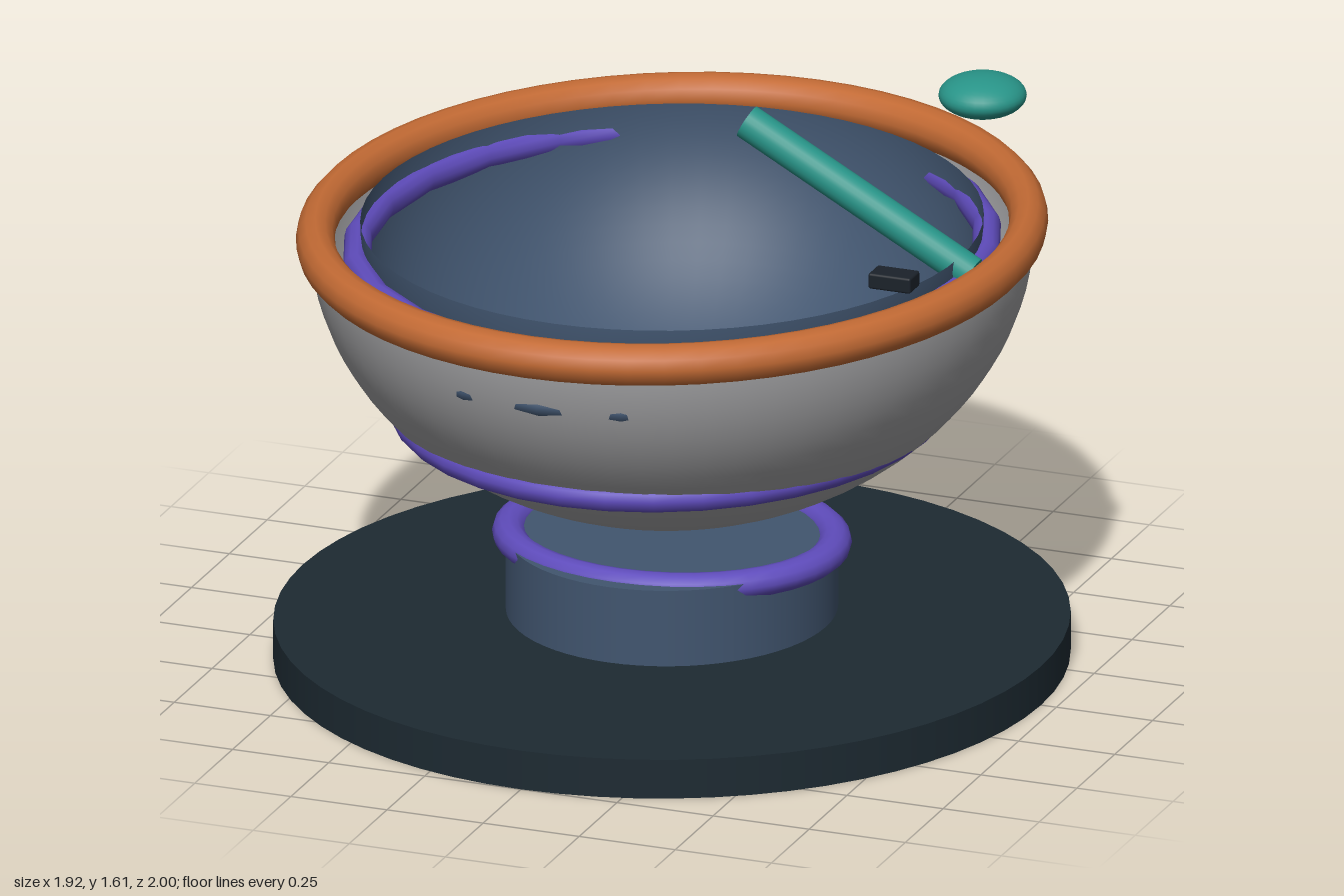
import * as THREE from 'three';
import { RoundedBoxGeometry } from 'three/addons/geometries/RoundedBoxGeometry.js';

const mat = (name, color, double = false) => {
  const m = new THREE.MeshStandardMaterial({ color });
  m.name = name;
  if (double) m.side = THREE.DoubleSide;
  return m;
};

export function createModel() {
  const group = new THREE.Group();
  const slate = mat('dark slate', 0x1d2a32);
  const black = mat('blue black', 0x1b222a);
  const blue = mat('slate blue', 0x41556f, true);
  const grey = mat('stone grey', 0xa2a2a4, true);
  const orange = mat('burnt orange', 0xc26a34);
  const purple = mat('violet', 0x5f4cbc);
  const teal = mat('teal', 0x289488);

  const add = (name, geometry, material, x = 0, y = 0, z = 0) => {
    const mesh = new THREE.Mesh(geometry, material);
    mesh.name = name;
    mesh.position.set(x, y, z);
    group.add(mesh);
    return mesh;
  };

  // Flat oval ring with half-widths rx and rz at the tube centre
  const ring = (name, rx, rz, tube, y, material, segments) => {
    const g = new THREE.TorusGeometry(rz, tube, 12, segments);
    g.rotateX(Math.PI / 2);
    g.scale(rx / rz, 1, 1);
    return add(name, g, material, 0, y, 0);
  };

  // Oval disc or drum standing on y0
  const drum = (name, rx, rz, y0, y1, material) => {
    const g = new THREE.CylinderGeometry(1, 1, y1 - y0, 64);
    g.scale(rx, 1, rz);
    return add(name, g, material, 0, (y0 + y1) / 2, 0);
  };

  // Open half ellipsoid, hollow side up
  const bowl = (name, rx, depth, rz, y, material) => {
    const g = new THREE.SphereGeometry(1, 64, 24, 0, Math.PI * 2, Math.PI / 2, Math.PI / 2);
    g.scale(rx, depth, rz);
    return add(name, g, material, 0, y, 0);
  };

  // Base and pedestal
  drum('base', 0.96, 1.0, 0, 0.1, slate);
  drum('pedestal', 0.4, 0.42, 0.125, 0.32, blue);
  ring('pedestalRing', 0.402, 0.35, 0.036, 0.307, purple, 40);

  // Bowl with its liner and rings
  bowl('bowl', 0.872, 0.703, 0.915, 1.1, grey);
  bowl('liner', 0.75, 0.64, 0.787, 1.13, blue);
  ring('rim', 0.85, 0.948, 0.052, 1.1, orange, 64);
  ring('innerRing', 0.757, 0.833, 0.037, 1.055, purple, 24);
  ring('hiddenBand', 0.775, 0.869, 0.03, 0.95, blue, 24);
  ring('lowerBand', 0.645, 0.721, 0.035, 0.67, purple, 36);

  // Slanted rod resting on the rim
  const a = new THREE.Vector3(0.195, 1.405, 0);
  const b = new THREE.Vector3(0.78, 1.09, 0);
  const rod = add('rod', new THREE.CylinderGeometry(0.043, 0.043, a.distanceTo(b), 24), teal);
  rod.position.copy(a).add(b).multiplyScalar(0.5);
  rod.quaternion.setFromUnitVectors(new THREE.Vector3(0, 1, 0), a.clone().sub(b).normalize());

  // Floating flattened ball
  const ball = new THREE.SphereGeometry(0.107, 32, 20);
  ball.scale(1, 0.48, 1);
  add('floatingBall', ball, teal, 0.808, 1.558, 0);

  // Small block on the rim
  add('block', new RoundedBoxGeometry(0.11, 0.04, 0.066, 2, 0.006), black, 0.7, 1.174, 0.312);

  // Two crossed upright leaves inside the bowl, facing back and right
  const leaf = new THREE.Shape();
  leaf.moveTo(0, 0.14);
  leaf.bezierCurveTo(0.08, 0.16, 0.13, 0.02, 0.13, -0.14);
  leaf.quadraticCurveTo(0.06, -0.1, 0, -0.05);
  leaf.quadraticCurveTo(-0.06, -0.1, -0.13, -0.14);
  leaf.bezierCurveTo(-0.13, 0.02, -0.08, 0.16, 0, 0.14);
  for (const turn of [Math.PI, -Math.PI / 2]) {
    const mesh = add('leaf', new THREE.ShapeGeometry(leaf, 10), teal, 0.55, 0.865, 0);
    mesh.rotation.y = turn;
  }

  return group;
}
